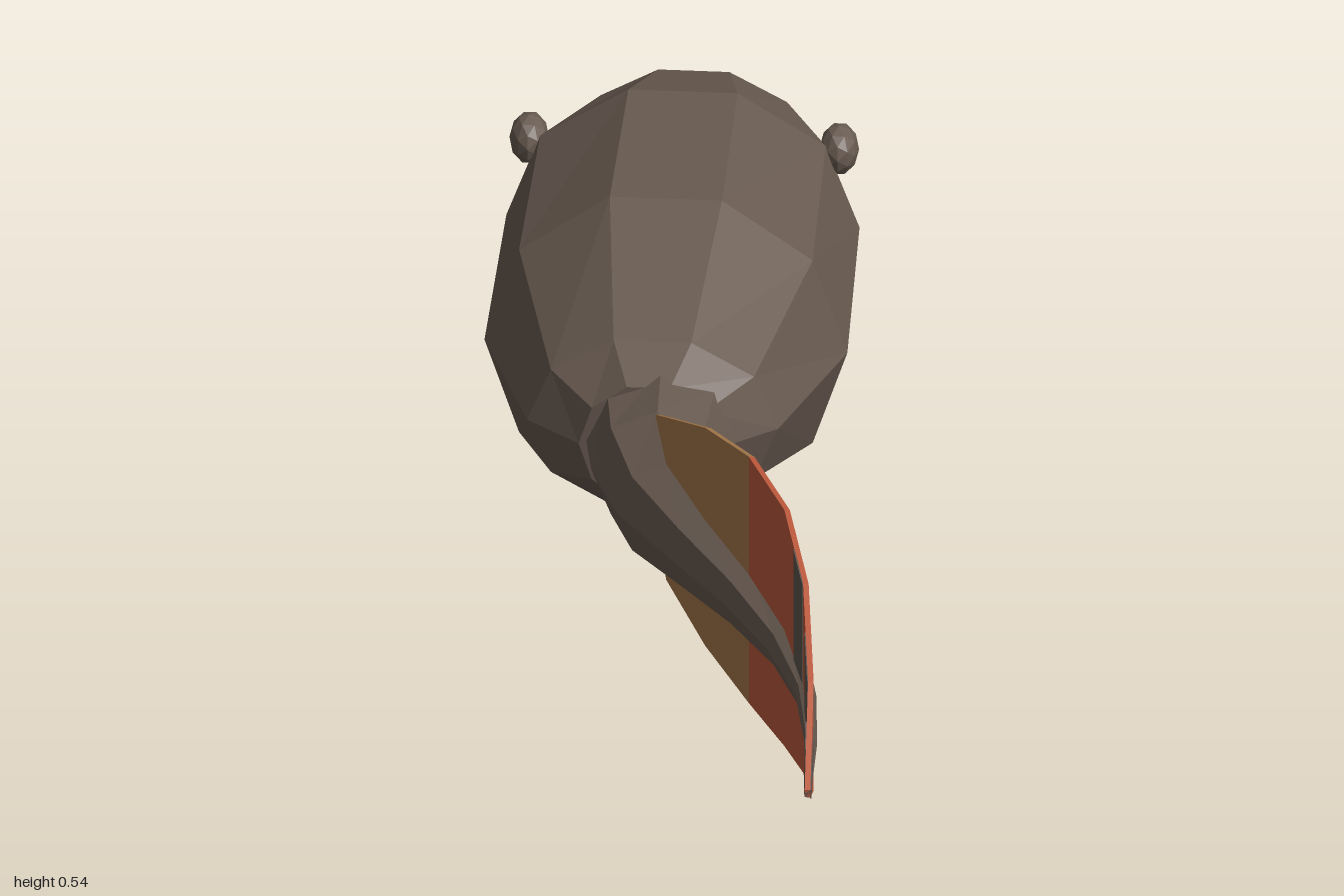
import * as THREE from 'three';

const mat = (name, color) => {
  const m = new THREE.MeshStandardMaterial({ color, flatShading: true });
  m.name = name;
  return m;
};

// Piecewise linear lookup of column k in a table keyed by its first column
function lookup(table, z, k) {
  let i = 1;
  while (i < table.length - 1 && table[i][0] < z) i++;
  const a = table[i - 1], b = table[i];
  return THREE.MathUtils.mapLinear(z, a[0], b[0], a[k], b[k]);
}

// Skin over rings of points ordered along +z, closed at both ends
function loft(rings) {
  const n = rings[0].length, pos = [], index = [];
  rings.forEach(r => r.forEach(p => pos.push(...p)));
  for (let i = 0; i < rings.length - 1; i++) {
    for (let j = 0; j < n; j++) {
      const a = i * n + j, b = i * n + (j + 1) % n;
      index.push(a, b, b + n, a, b + n, a + n);
    }
  }
  const last = (rings.length - 1) * n;
  for (let j = 1; j < n - 1; j++) {
    index.push(0, j + 1, j);
    index.push(last, last + j, last + j + 1);
  }
  const g = new THREE.BufferGeometry();
  g.setAttribute('position', new THREE.Float32BufferAttribute(pos, 3));
  g.setIndex(index);
  g.computeVertexNormals();
  return g;
}

function ellipse(z, cx, cy, rx, ry, n) {
  return Array.from({ length: n }, (_, j) => {
    const a = (j / n) * Math.PI * 2;
    return [cx + rx * Math.cos(a), cy + ry * Math.sin(a), z];
  });
}

// z, centre x, half width, top y, bottom y
const TAIL = [
  [-0.16, -0.015, 0.11, 0.375, 0.175],
  [-0.03, -0.01, 0.095, 0.38, 0.18],
  [0.1, 0.016, 0.075, 0.37, 0.2],
  [0.24, 0.082, 0.058, 0.36, 0.232],
  [0.38, 0.155, 0.043, 0.353, 0.256],
  [0.53, 0.217, 0.028, 0.35, 0.28],
  [0.68, 0.255, 0.015, 0.35, 0.303],
  [0.84, 0.274, 0.009, 0.352, 0.325],
  [1, 0.281, 0.005, 0.354, 0.341],
];

// z, top y, bottom y
const FIN = [
  [-0.03, 0.375, 0.2],
  [0.1, 0.445, 0.178],
  [0.24, 0.51, 0.152],
  [0.38, 0.545, 0.14],
  [0.53, 0.545, 0.157],
  [0.68, 0.51, 0.2],
  [0.84, 0.442, 0.262],
  [1, 0.354, 0.342],
];

// Upright sheet that follows the tail curve; stops are [z, top, bottom]
function sheet(stops, half, offset = 0) {
  return loft(stops.map(([z, top, bottom]) => {
    const x = lookup(TAIL, z, 1) + offset;
    return [[x + half, bottom, z], [x + half, top, z], [x - half, top, z], [x - half, bottom, z]];
  }));
}

export function createModel() {
  const model = new THREE.Group();
  const skin = mat('brown skin', 0x685a50);
  const red = mat('rust red', 0xbe593c);
  const tan = mat('tan', 0xa67a4b);
  const dark = mat('dark marking', 0x5e554e);

  const add = (name, geometry, material) => {
    const mesh = new THREE.Mesh(geometry, material);
    mesh.name = name;
    model.add(mesh);
    return mesh;
  };

  // Ten-sided body, blunt at the snout: z, centre y, x radius, y radius
  const body = [
    [-1, 0.27, 0.165, 0.126],
    [-0.79, 0.262, 0.253, 0.224],
    [-0.46, 0.243, 0.26, 0.255],
    [-0.2, 0.262, 0.18, 0.143],
    [-0.12, 0.272, 0.1, 0.1],
  ];
  add('body', loft(body.map(([z, cy, rx, ry]) => ellipse(z, -0.03, cy, rx, ry, 10))), skin);

  // Tapering curved tail
  add('tail', loft(TAIL.map(([z, x, w, top, bottom]) =>
    ellipse(z, x, (top + bottom) / 2, w, (top - bottom) / 2, 8))), skin);

  // Fin in two colours
  add('finFront', sheet(FIN.slice(0, 4), 0.004), tan);
  add('finBack', sheet(FIN.slice(3), 0.004), red);

  // Upright bars on the right face of the fin
  [[0.61, 0.68], [0.76, 0.84], [0.9, 0.94]].forEach(ends => {
    const stops = ends.map(z => [z, lookup(FIN, z, 1), 0.345]);
    add('finBar', sheet(stops, 0.001, -0.0045), dark);
  });

  // Ragged patch on the left face of the fin
  const patch = [
    [0.53, 0.428], [0.6, 0.434], [0.68, 0.413], [0.72, 0.393], [0.76, 0.402],
    [0.84, 0.384], [0.9, 0.366], [0.94, 0.374], [1, 0.354],
  ].map(([z, top]) => [z, top, 0.34]);
  add('finPatch', sheet(patch, 0.001, 0.0045), dark);

  // Small faceted eyes
  for (const s of [-1, 1]) {
    const eye = add('eye', new THREE.IcosahedronGeometry(0.038, 1), skin);
    eye.scale.x = 0.75;
    eye.position.set(-0.03 + s * 0.222, 0.376, -0.815);
  }
  return model;
}
